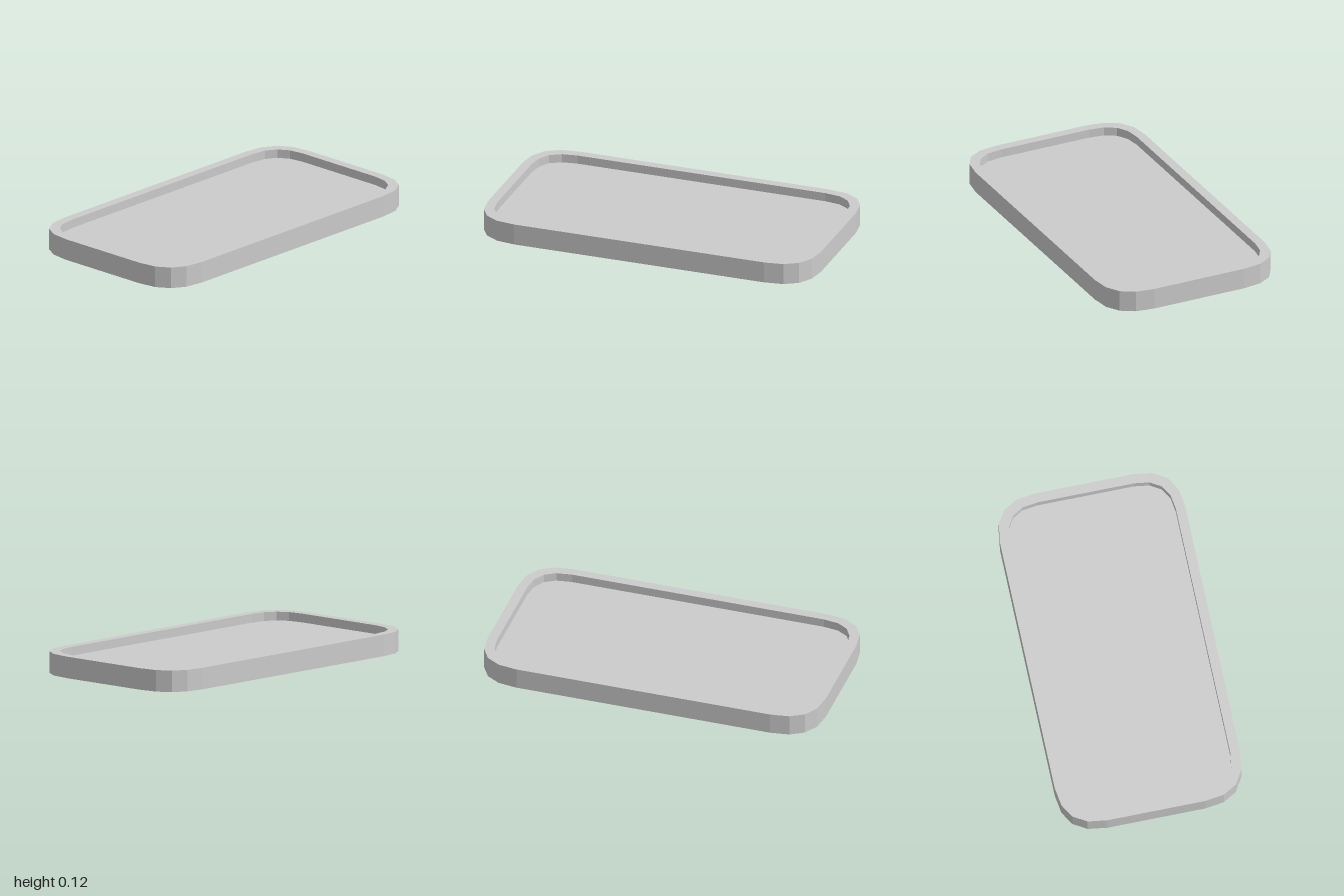
import * as THREE from 'three';

const HALF_W = 0.533, HALF_L = 1, HEIGHT = 0.123;
const RIM = 0.055, FLOOR_Y = 0.073;

// Rectangle with four softly curved corners, as a loop of points at height y
function ring(w, l, corner, y) {
  const shape = new THREE.Shape();
  shape.moveTo(w, -l + corner);
  shape.lineTo(w, l - corner);
  shape.quadraticCurveTo(w, l, w - corner, l);
  shape.lineTo(-w + corner, l);
  shape.quadraticCurveTo(-w, l, -w, l - corner);
  shape.lineTo(-w, -l + corner);
  shape.quadraticCurveTo(-w, -l, -w + corner, -l);
  shape.lineTo(w - corner, -l);
  shape.quadraticCurveTo(w, -l, w, -l + corner);
  const points = shape.getPoints(4);
  points.pop(); // the last point repeats the first
  return points.map((p) => new THREE.Vector3(p.x, y, p.y));
}

// Joins successive rings with flat faces and closes both ends
function loft(rings) {
  const corners = [];
  const n = rings[0].length;
  const first = rings[0], last = rings[rings.length - 1];
  const bottom = new THREE.Vector3(0, first[0].y, 0);
  const top = new THREE.Vector3(0, last[0].y, 0);
  for (let i = 0; i < n; i++) {
    const j = (i + 1) % n;
    corners.push(bottom, first[i], first[j]);
    for (let k = 0; k < rings.length - 1; k++) {
      const a = rings[k], b = rings[k + 1];
      corners.push(a[i], b[i], b[j], a[i], b[j], a[j]);
    }
    corners.push(top, last[j], last[i]);
  }
  const geometry = new THREE.BufferGeometry().setFromPoints(corners);
  geometry.computeVertexNormals();
  return geometry;
}

export function createModel() {
  const group = new THREE.Group();
  group.name = 'shallowTray';

  // Underside, outer wall, rim, inner wall and recessed floor in one skin
  const inner = [HALF_W - RIM, HALF_L - RIM, 0.2];
  const tray = new THREE.Mesh(
    loft([
      ring(HALF_W, HALF_L, 0.25, 0),
      ring(HALF_W, HALF_L, 0.25, HEIGHT),
      ring(...inner, HEIGHT),
      ring(...inner, FLOOR_Y),
    ]),
    new THREE.MeshStandardMaterial({ color: 0xcccccc, flatShading: true })
  );
  tray.name = 'trayBody';
  group.add(tray);
  return group;
}
